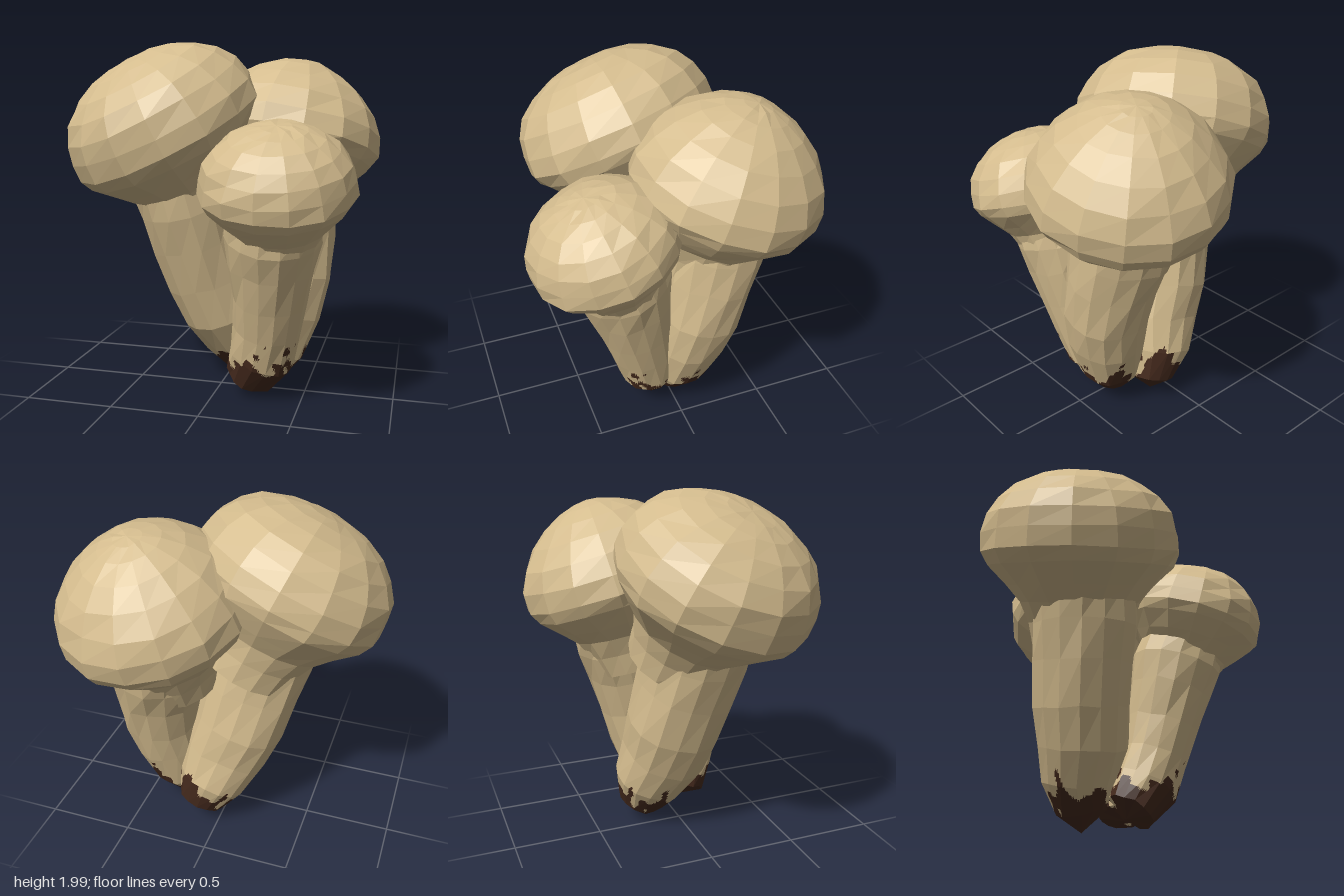
import * as THREE from 'three';

const V = (x, y, z) => new THREE.Vector3(x, y, z);
const SIDES = 15;

// Small seeded random for hand-carved irregularity
function seeded(seed) {
  let s = seed;
  return () => (s = (s * 16807) % 2147483647) / 2147483647 - 0.5;
}

// Ring of points around a centre, perpendicular to an axis
function ring(center, axis, radius, rand, wobble) {
  const u = axis.clone().normalize();
  const e1 = V(1, 0, 0).addScaledVector(u, -u.x).normalize();
  const e2 = e1.clone().cross(u);
  const pts = [];
  for (let i = 0; i < SIDES; i++) {
    const t = (i / SIDES) * Math.PI * 2;
    const r = radius * (1 + rand() * wobble);
    pts.push(center.clone()
      .addScaledVector(e1, Math.cos(t) * r)
      .addScaledVector(e2, Math.sin(t) * r)
      .addScaledVector(u, radius > 0 ? rand() * wobble * 0.25 : 0));
  }
  return pts;
}

// Ragged upper edge of the soil: mean height at x = z = 0 and its slopes along x and z
function soilTest([height, slopeX, slopeZ]) {
  return (p) => {
    const n = Math.sin(p.x * 23 + p.z * 9 + 1) * Math.sin(p.z * 25 - p.x * 7 + p.y * 14)
      + 0.7 * Math.sin(p.x * 47 + p.y * 39) * Math.sin(p.z * 43 + 2);
    return p.y < height + slopeX * p.x + slopeZ * p.z + 0.1 * n;
  };
}

// Flat-faceted skin over rings; quads near the ground are split finely into clean and soiled cells
function loft(rings, isSoil) {
  const clean = [], soil = [];
  const tri = (a, b, c) => {
    const mid = a.clone().add(b).add(c).divideScalar(3);
    const list = isSoil(mid) ? soil : clean;
    for (const p of [a, b, c]) list.push(p.x, p.y, p.z);
  };
  for (let k = 0; k < rings.length - 1; k++) {
    for (let i = 0; i < SIDES; i++) {
      const j = (i + 1) % SIDES;
      const a = rings[k][i], b = rings[k][j], c = rings[k + 1][i], d = rings[k + 1][j];
      const n = Math.min(a.y, b.y) < 0.45 ? 8 : 1;
      // Each half of the quad stays planar when split
      for (const [o, p, q] of [[a, c, b], [d, b, c]]) {
        const at = (s, t) => o.clone()
          .addScaledVector(p.clone().sub(o), s / n).addScaledVector(q.clone().sub(o), t / n);
        for (let s = 0; s < n; s++) for (let t = 0; t < n - s; t++) {
          tri(at(s, t), at(s + 1, t), at(s, t + 1));
          if (s + t < n - 1) tri(at(s + 1, t), at(s + 1, t + 1), at(s, t + 1));
        }
      }
    }
  }
  return [clean, soil];
}

function mesh(positions, material, name) {
  const g = new THREE.BufferGeometry();
  g.setAttribute('position', new THREE.Float32BufferAttribute(positions, 3));
  g.computeVertexNormals();
  const m = new THREE.Mesh(g, material);
  m.name = name;
  return m;
}

// Cap neck, underside and rim: [height, radius], both in cap radii
const UNDERSIDE = [[-1, 0.48], [-0.76, 0.53], [-0.56, 0.61], [-0.4, 0.76], [-0.2, 0.94], [-0.07, 1]];
// Dome heights; the bulge exponent sets how flat the top is
const DOME = [0.15, 0.4, 0.62, 0.8, 0.92, 0.98, 1];

// stem entries: [x, y, z, radius] from the foot upwards
const MUSHROOMS = [
  { name: 'largeMushroom', seed: 11, cap: [-0.305, 1.52, 0.09], axis: [-0.44, 1, 0.32],
    r: 0.565, dome: 0.42, bulge: 2.2, soilLine: [0.165, 0.35, -0.3],
    stem: [[0.1, 0, -0.18, 0], [0.12, 0.13, -0.19, 0.15], [0.06, 0.28, -0.17, 0.21],
      [0, 0.45, -0.1, 0.25], [-0.07, 0.65, -0.06, 0.275], [-0.13, 0.88, -0.01, 0.285],
      [-0.18, 1.08, 0.03, 0.295], [-0.22, 1.25, 0.06, 0.3]] },
  { name: 'backMushroom', seed: 29, cap: [0.34, 1.45, -0.285], axis: [0.14, 1, -0.28],
    r: 0.53, dome: 0.46, bulge: 1.75, soilLine: [0.2, 0, -0.1],
    stem: [[0.25, 0.07, 0.0, 0], [0.25, 0.1, -0.02, 0.12], [0.295, 0.23, -0.05, 0.185],
      [0.35, 0.45, -0.09, 0.22], [0.385, 0.65, -0.13, 0.235], [0.38, 0.88, -0.185, 0.255],
      [0.36, 1.06, -0.23, 0.275], [0.35, 1.22, -0.26, 0.28]] },
  { name: 'smallMushroom', seed: 53, cap: [0.4, 1.245, 0.405], axis: [0.03, 1, 0.32],
    r: 0.41, dome: 0.32, bulge: 2, soilLine: [0.23, 0, 0],
    stem: [[0.18, 0.06, 0.06, 0], [0.19, 0.1, 0.08, 0.14], [0.27, 0.25, 0.125, 0.185],
      [0.31, 0.42, 0.17, 0.19], [0.33, 0.6, 0.215, 0.205], [0.35, 0.8, 0.265, 0.235],
      [0.36, 0.95, 0.3, 0.26], [0.375, 1.07, 0.34, 0.25]] },
];

export function createModel() {
  const flesh = new THREE.MeshStandardMaterial({ color: 0xd4bc8e });
  flesh.name = 'paleFlesh';
  const earth = new THREE.MeshStandardMaterial({ color: 0x452a1d });
  earth.name = 'darkSoil';

  const model = new THREE.Group();
  model.name = 'mushroomCluster';
  for (const { name, seed, cap, axis, r, dome, bulge, soilLine, stem } of MUSHROOMS) {
    const rand = seeded(seed * 7919);
    const isSoil = soilTest(soilLine);
    const group = new THREE.Group();
    group.name = name;

    // Stem and soiled foot
    const centers = stem.map(([x, y, z]) => V(x, y, z));
    const stemRings = stem.map((s, k) => {
      const lo = centers[Math.max(1, k - 1)], hi = centers[Math.min(stem.length - 1, Math.max(k + 1, 2))];
      return ring(centers[k], hi.clone().sub(lo), s[3], rand, 0.07);
    });
    const [clean, soil] = loft(stemRings, isSoil);
    group.add(mesh(clean, flesh, 'stem'), mesh(soil, earth, 'soiledFoot'));

    // Tilted cap
    const u = V(...axis).normalize();
    const profile = [
      ...UNDERSIDE.map(([h, w]) => [h * r, w * r]),
      ...DOME.map((h) => [h * dome, r * (1 - h ** bulge) ** (1 / bulge)]),
    ];
    const capRings = profile.map(([h, w]) =>
      ring(V(...cap).addScaledVector(u, h), u, w, rand, 0.035));
    group.add(mesh(loft(capRings, isSoil)[0], flesh, 'cap'));
    model.add(group);
  }
  return model;
}
